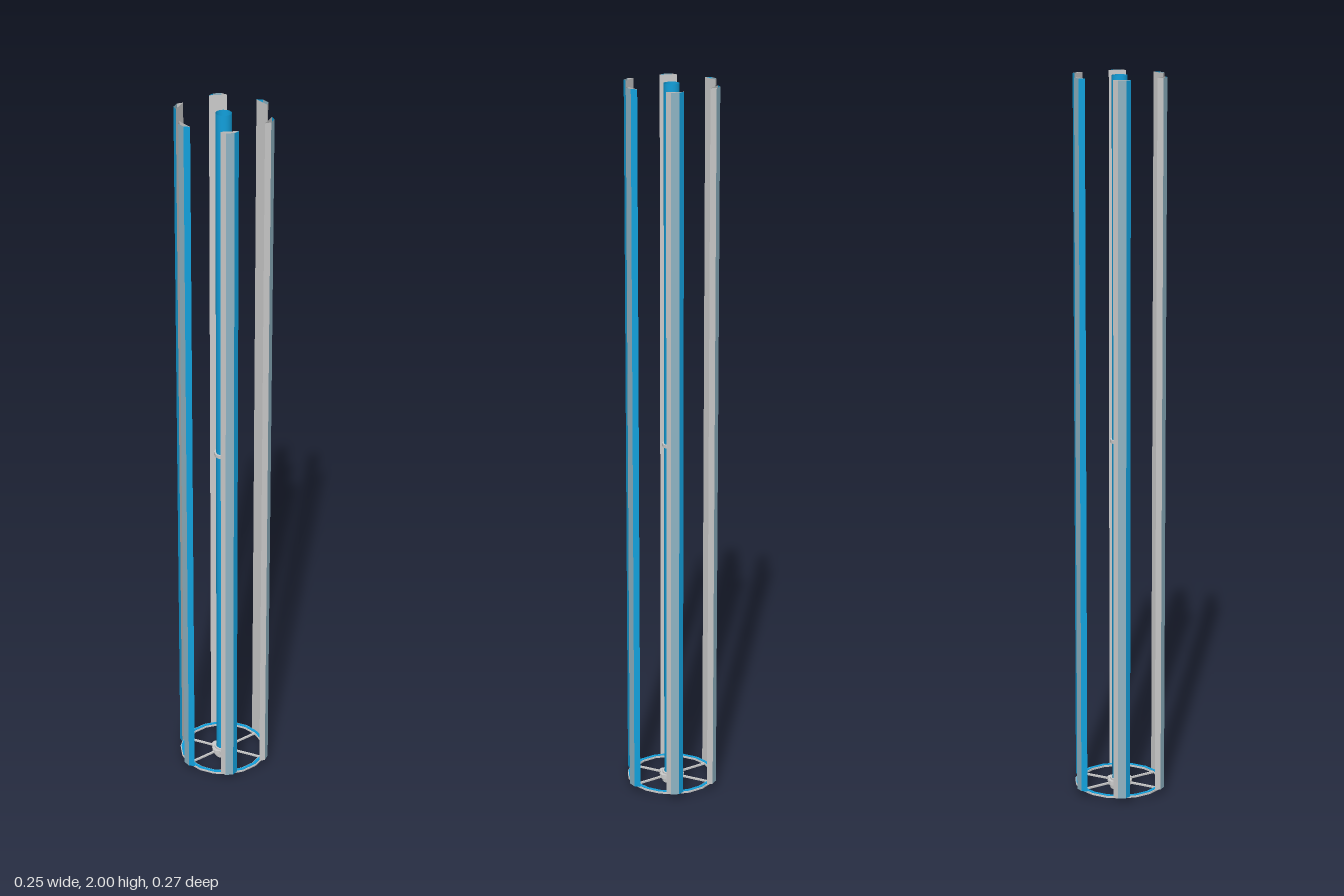
import * as THREE from 'three';

const mat = (color, side = THREE.DoubleSide) =>
  new THREE.MeshStandardMaterial({ color, side, flatShading: true });
const grey = mat(0xcccccc);
const blue = mat(0x12a0dc);
const steel = mat(0x8fb4c4);

function add(parent, name, geometry, material) {
  const mesh = new THREE.Mesh(geometry, material);
  mesh.name = name;
  parent.add(mesh);
  return mesh;
}

// Flat ring of rectangular section, turned around the y axis
function ring(inner, outer, y0, y1, sides) {
  const p = [[inner, y0], [outer, y0], [outer, y1], [inner, y1], [inner, y0]];
  return new THREE.LatheGeometry(p.map(([r, y]) => new THREE.Vector2(r, y)), sides);
}

// Upright wall between two points of the plan
function wall([xa, za], [xb, zb], y0, y1) {
  const g = new THREE.PlaneGeometry(Math.hypot(xb - xa, zb - za), y1 - y0);
  g.rotateY(-Math.atan2(zb - za, xb - xa));
  g.translate((xa + xb) / 2, (y0 + y1) / 2, (za + zb) / 2);
  return g;
}

export function createModel() {
  const model = new THREE.Group();
  const top = 2, base = 0.02;

  // Central tube, open at both ends
  const tube = new THREE.CylinderGeometry(0.021, 0.021, top - base, 18, 1, true);
  tube.translate(0, (top + base) / 2, 0);
  add(model, 'centralTube', tube, new THREE.MeshStandardMaterial({ color: 0x12a0dc, side: THREE.DoubleSide }));
  add(model, 'middleCollar', ring(0.021, 0.026, 1.005, 1.014, 18), grey);

  // Hub at the foot
  add(model, 'hub', ring(0.022, 0.027, 0, 0.03, 18), grey);

  // Eighteen-sided base ring with a coloured inlay
  add(model, 'baseRing', ring(0.1125, 0.126, 0.016, 0.021, 18), grey);
  add(model, 'ringInlay', ring(0.115, 0.1235, 0.018, 0.0225, 18), blue);

  // Hub lug: a tapered tab pointing outward
  const lugShape = new THREE.Shape();
  lugShape.moveTo(-0.019, 0.021);
  lugShape.lineTo(-0.009, 0.034);
  lugShape.quadraticCurveTo(0, 0.039, 0.009, 0.034);
  lugShape.lineTo(0.019, 0.021);
  lugShape.quadraticCurveTo(0, 0.028, -0.019, 0.021);
  const lug = new THREE.ExtrudeGeometry(lugShape, { depth: 0.012, bevelEnabled: false, curveSegments: 4 });
  lug.rotateX(Math.PI / 2).translate(0, 0.026, 0);

  const spoke = new THREE.BoxGeometry(0.005, 0.005, 0.085);
  spoke.translate(0, 0.0185, 0.0735);

  // Hollow upright: plan corners from the left edge to the right edge
  const plan = [[-0.023, 0.122], [-0.011, 0.134], [0.011, 0.134], [0.023, 0.122]];
  const walls = [
    ['uprightLeftFace', 0, 1, grey],
    ['uprightOuterFace', 1, 2, steel],
    ['uprightRightFace', 2, 3, blue],
    ['uprightInnerFace', 3, 0, grey],
  ].map(([name, a, b, m]) => [name, wall(plan[a], plan[b], base, top), m]);

  for (let i = 0; i < 6; i++) {
    const arm = new THREE.Group();
    arm.name = 'arm' + (i + 1);
    arm.rotation.y = (i * Math.PI) / 3;
    add(arm, 'hubLug', lug, grey);
    add(arm, 'spoke', spoke, grey);
    for (const [name, g, m] of walls) add(arm, name, g, m);
    model.add(arm);
  }
  return model;
}
